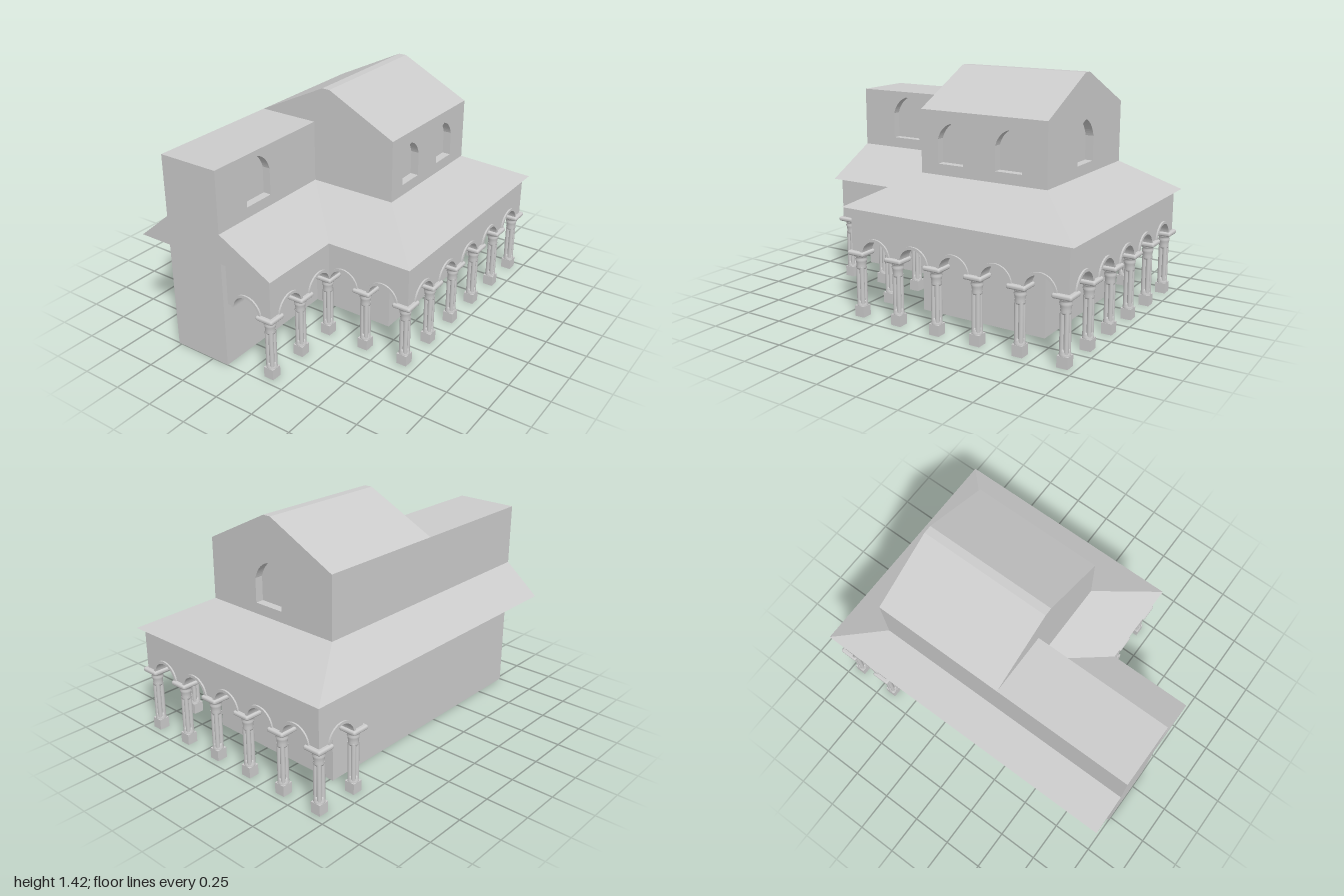
import * as THREE from 'three';
import { RoundedBoxGeometry } from 'three/addons/geometries/RoundedBoxGeometry.js';

const mat = new THREE.MeshStandardMaterial({ color: 0xcccccc });
const EAVE = 0.66, SPRING = 0.39, WALL = 0.07;

function add(parent, name, geo, x = 0, y = 0, z = 0) {
  const m = new THREE.Mesh(geo, mat);
  m.name = name;
  m.position.set(x, y, z);
  parent.add(m);
  return m;
}

function polygon(points) {
  return new THREE.Shape(points.map(([x, y]) => new THREE.Vector2(x, y)));
}

function extrude(shape, depth, curveSegments = 12) {
  return new THREE.ExtrudeGeometry(shape, { depth, bevelEnabled: false, curveSegments });
}

// Pointed window opening centred on u
function windowHole(u, half, bottom, top) {
  const spring = top - half * 1.1;
  const p = new THREE.Path();
  p.moveTo(u - half, bottom);
  p.lineTo(u + half, bottom);
  p.lineTo(u + half, spring);
  p.quadraticCurveTo(u + half * 0.75, top - half * 0.25, u, top);
  p.quadraticCurveTo(u - half * 0.75, top - half * 0.25, u - half, spring);
  p.closePath();
  return p;
}

// Wall outline with window openings
function wallShape(points, holes) {
  const s = polygon(points);
  s.holes.push(...holes);
  return s;
}

const rect = (a, b, h) => [[a, 0], [b, 0], [b, h], [a, h]];

function buildHall(group) {
  // Gabled hall: the profile lies in (-z, y) and is swept along x
  const gable = (front) => [[front, 0], [0.52, 0], [0.52, 1.21], [0.08, 1.425], [0.03, 1.425],
    [-0.4, 1.21], [front, 1.21]];
  const core = polygon([[-0.35, 0], [0.52, 0], [0.52, 1.21], [-0.35, 1.21]]);
  const roof = polygon([[-0.4, 1.21], [0.52, 1.21], [0.08, 1.425], [0.03, 1.425]]);
  add(group, 'hallCore', extrude(core, 0.77).rotateY(Math.PI / 2), -0.15);
  add(group, 'hallRoof', extrude(roof, 0.77).rotateY(Math.PI / 2), -0.15);
  const side = wallShape(gable(-0.4).slice(0, 6), [windowHole(0.05, 0.1, 0.905, 1.16)]);
  add(group, 'hallGableWall', extrude(side, 0.05).rotateY(Math.PI / 2), 0.62);
  const front = wallShape(rect(-0.15, 0.62, 1.21),
    [0.05, 0.43].map((x) => windowHole(x, 0.085, 0.905, 1.14)));
  add(group, 'hallFrontWall', extrude(front, 0.05), 0, 0, 0.35);

  // Lower flat-topped wing
  add(group, 'wingCore', new THREE.BoxGeometry(0.85, 1.21, 0.33), -0.575, 0.605, -0.355);
  const wing = wallShape(rect(-1, -0.15, 1.21), [windowHole(-0.665, 0.1, 0.905, 1.175)]);
  add(group, 'wingFrontWall', extrude(wing, 0.05), 0, 0, -0.19);
}

// Lean-to roof running round the building: eave corners and matching wall corners
function buildSkirtRoof(group) {
  const eave = [[-1, 0.2], [-0.48, 0.2], [-0.48, 0.73], [1, 0.73], [1, -0.735], [-1, -0.735]];
  const top = [[-1, -0.14], [-0.15, -0.14], [-0.15, 0.4], [0.67, 0.4], [0.67, -0.52], [-1, -0.52]];
  const pos = [];
  eave.forEach((e, i) => {
    const j = (i + 1) % eave.length;
    const a = [e[0], EAVE, e[1]], b = [eave[j][0], EAVE, eave[j][1]];
    const c = [top[j][0], 0.84, top[j][1]], d = [top[i][0], 0.84, top[i][1]];
    pos.push(...a, ...b, ...c, ...a, ...c, ...d);
  });
  const slopes = new THREE.BufferGeometry();
  slopes.setAttribute('position', new THREE.Float32BufferAttribute(pos, 3));
  slopes.computeVertexNormals();
  add(group, 'skirtRoof', slopes);
  add(group, 'skirtSoffit', new THREE.ShapeGeometry(polygon(eave)).rotateX(Math.PI / 2), 0, EAVE, 0);
}

// Straight arcade wall with round arches and raised arch rings
function buildArcade(group, [x0, z0], [x1, z1], bays) {
  const length = Math.hypot(x1 - x0, z1 - z0), step = length / bays, h = WALL / 2;
  const s = new THREE.Shape();
  s.moveTo(-h, SPRING);
  for (let i = 0; i < bays; i++) {
    const c = (i + 0.5) * step;
    s.lineTo(c - 0.095, SPRING);
    s.absarc(c, SPRING, 0.095, Math.PI, 0, true);
  }
  s.lineTo(length + h, SPRING);
  s.lineTo(length + h, EAVE);
  s.lineTo(-h, EAVE);
  const run = new THREE.Group();
  run.name = 'arcade';
  run.position.set(x0, 0, z0);
  run.rotation.y = Math.atan2(-(z1 - z0), x1 - x0);
  add(run, 'arcadeWall', extrude(s, WALL, 20), 0, 0, -h);

  const ring = new THREE.Shape();
  ring.absarc(0, 0, 0.104, 0, Math.PI, false);
  ring.absarc(0, 0, 0.088, Math.PI, 0, true);
  const ringGeo = extrude(ring, WALL + 0.02, 20);
  for (let i = 0; i < bays; i++) {
    add(run, 'archRing', ringGeo, (i + 0.5) * step, SPRING, -h - 0.01);
  }
  group.add(run);
}

function lathe(profile) {
  return new THREE.LatheGeometry(profile.map(([r, y]) => new THREE.Vector2(r, y)), 16);
}

// Clustered column: plinth, foot, four slim shafts, collar, capital
const plinthGeo = new THREE.BoxGeometry(0.064, 0.065, 0.064);
const footGeo = lathe([[0.032, 0.065], [0.032, 0.075], [0.027, 0.085], [0.025, 0.1], [0, 0.1]]);
const shaftGeo = new THREE.CylinderGeometry(0.014, 0.014, 0.23, 10);
const collarGeo = lathe([[0, 0.285], [0.027, 0.29], [0.031, 0.3], [0.028, 0.312], [0.032, 0.335],
  [0.036, 0.348], [0.03, 0.354], [0.035, 0.364], [0.045, 0.38], [0, 0.38]]);
const capGeo = new RoundedBoxGeometry(0.116, 0.028, 0.116, 3, 0.012);

function buildColumn(group, [x, z]) {
  const col = new THREE.Group();
  col.name = 'column';
  col.position.set(x, 0, z);
  add(col, 'plinth', plinthGeo, 0, 0.0325, 0);
  add(col, 'foot', footGeo);
  for (const sx of [-1, 1]) for (const sz of [-1, 1]) {
    add(col, 'shaft', shaftGeo, sx * 0.0125, 0.19, sz * 0.0125);
  }
  add(col, 'collar', collarGeo);
  add(col, 'capital', capGeo, 0, 0.39, 0);
  group.add(col);
}

export function createModel() {
  const model = new THREE.Group();
  model.name = 'building';
  buildHall(model);
  buildSkirtRoof(model);

  // Arcade corners in order round the building, with the bays between them
  const path = [[0.665, -0.665], [0.93, -0.665], [0.93, 0.665], [-0.4, 0.665], [-0.4, 0.13],
    [-0.93, 0.13], [-0.93, -0.135]];
  const bays = [1, 5, 5, 2, 2, 1];
  bays.forEach((n, i) => {
    const a = path[i], b = path[i + 1];
    buildArcade(model, a, b, n);
    for (let k = 0; k < n; k++) {
      buildColumn(model, [a[0] + (b[0] - a[0]) * k / n, a[1] + (b[1] - a[1]) * k / n]);
    }
  });
  return model;
}
